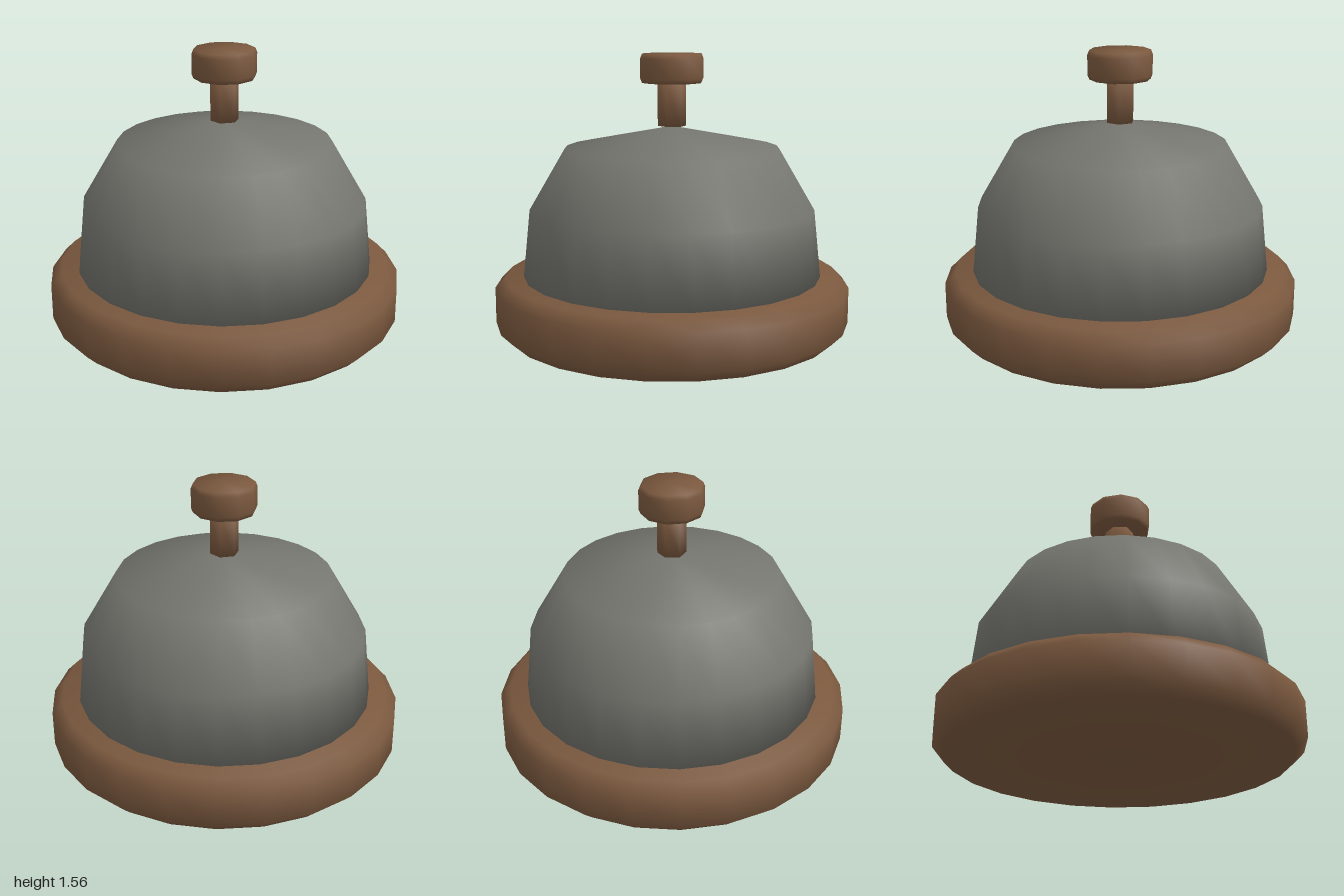
import * as THREE from 'three';

const wood = new THREE.MeshStandardMaterial({ color: 0x7a583e });
wood.name = 'brown';
const metal = new THREE.MeshStandardMaterial({ color: 0x767670 });
metal.name = 'grey';

// Closed turned part from a profile of [radius, height] points, bottom centre to top centre.
// Normals are blended evenly across every ring, caps included, for a soft all-over shade.
function turned(name, profile, sides, material) {
  const points = profile.map(([r, y]) => new THREE.Vector2(r, y));
  const faces = points.slice(1).map((p, i) =>
    new THREE.Vector2(p.y - points[i].y, points[i].x - p.x).normalize());
  const blended = points.map((p, i) => {
    if (i === 0) return new THREE.Vector2(0, -1);
    if (i === points.length - 1) return new THREE.Vector2(0, 1);
    return faces[i - 1].clone().add(faces[i]).normalize();
  });

  const geometry = new THREE.LatheGeometry(points, sides);
  const normal = geometry.attributes.normal;
  for (let i = 0; i < normal.count; i++) {
    const n = blended[i % points.length];
    const angle = (Math.floor(i / points.length) / sides) * Math.PI * 2;
    normal.setXYZ(i, n.x * Math.sin(angle), n.y, n.x * Math.cos(angle));
  }
  const mesh = new THREE.Mesh(geometry, material);
  mesh.name = name;
  return mesh;
}

export function createModel() {
  const model = new THREE.Group();
  model.name = 'deskBell';

  // Chamfered round base
  model.add(turned('base', [
    [0, 0], [0.94, 0], [1, 0.06], [1, 0.26], [0.94, 0.32], [0, 0.32],
  ], 24, wood));

  // Bell dome with a flared skirt, a shoulder and a shallow conical top
  model.add(turned('dome', [
    [0, 0.32], [0.84, 0.32], [0.8, 0.7], [0.6, 1.04], [0, 1.16],
  ], 24, metal));

  // Six-sided plunger stem
  model.add(turned('stem', [[0, 1.16], [0.08, 1.16], [0.08, 1.4], [0, 1.4]], 6, wood));

  // Ten-sided push button with softened edges
  const button = turned('button', [
    [0, 1.4], [0.17, 1.4], [0.18, 1.425], [0.18, 1.535], [0.17, 1.56], [0, 1.56],
  ], 10, wood);
  button.rotation.y = Math.PI / 2;
  model.add(button);

  return model;
}
